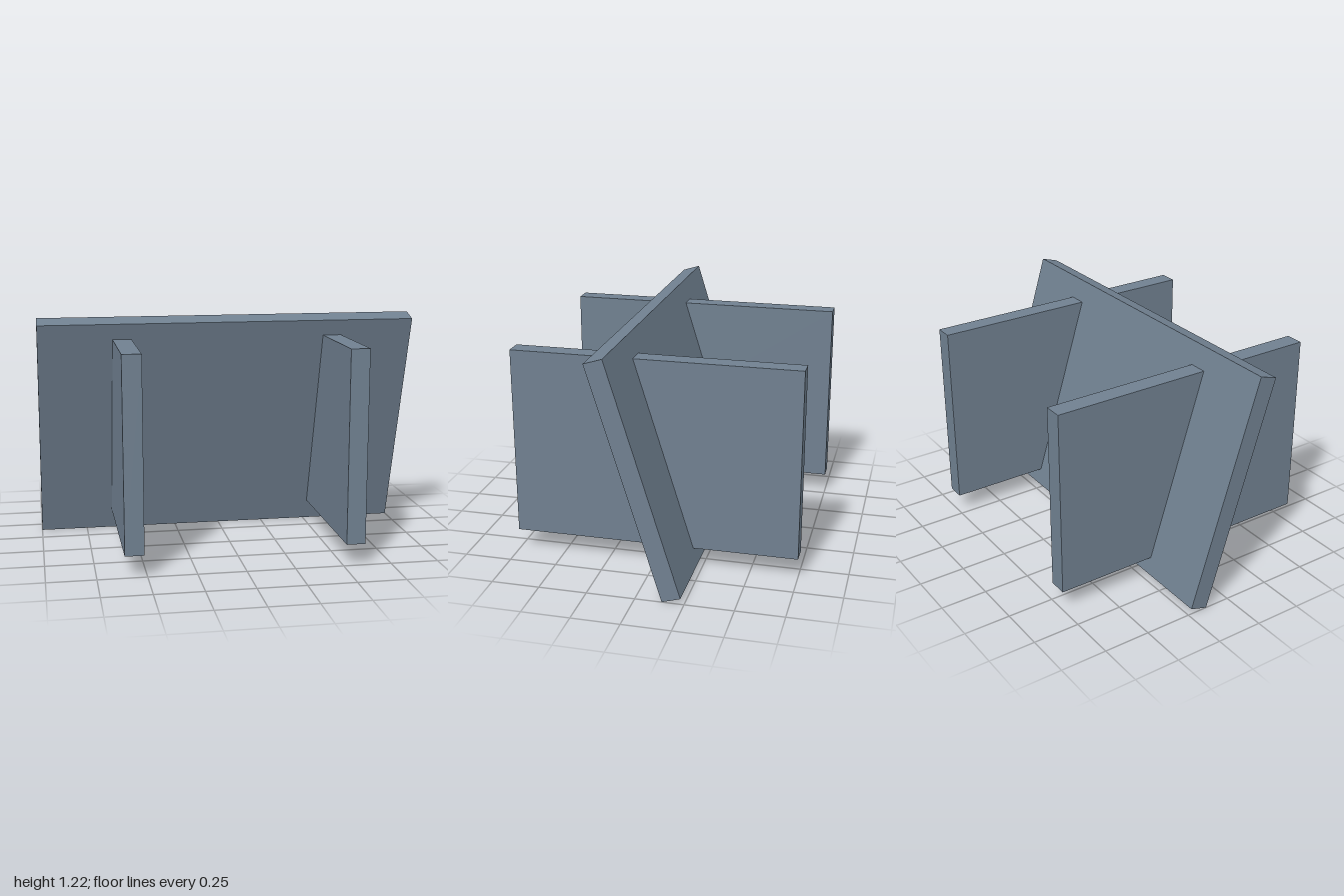
import * as THREE from 'three';

export function createModel() {
  const model = new THREE.Group();
  model.name = 'slottedPanels';
  const slate = new THREE.MeshStandardMaterial({ color: 0x708090 });
  slate.name = 'slate grey';

  const thickness = 0.098;
  const centreY = 0.612;

  function addBoard(name, width, height, depth, x) {
    const board = new THREE.Mesh(new THREE.BoxGeometry(width, height, depth), slate);
    board.name = name;
    board.position.set(x, centreY, 0);
    model.add(board);
    return board;
  }

  // Wide panel, its top edge leaning towards the front
  addBoard('leaningPanel', 2, 1.25, thickness, 0).rotation.x = 0.3;

  // Two upright boards crossing the panel from front to back
  for (const side of [1, -1]) {
    addBoard(side > 0 ? 'leftUpright' : 'rightUpright', thickness, 1, 1.5, side * 0.563);
  }

  return model;
}
